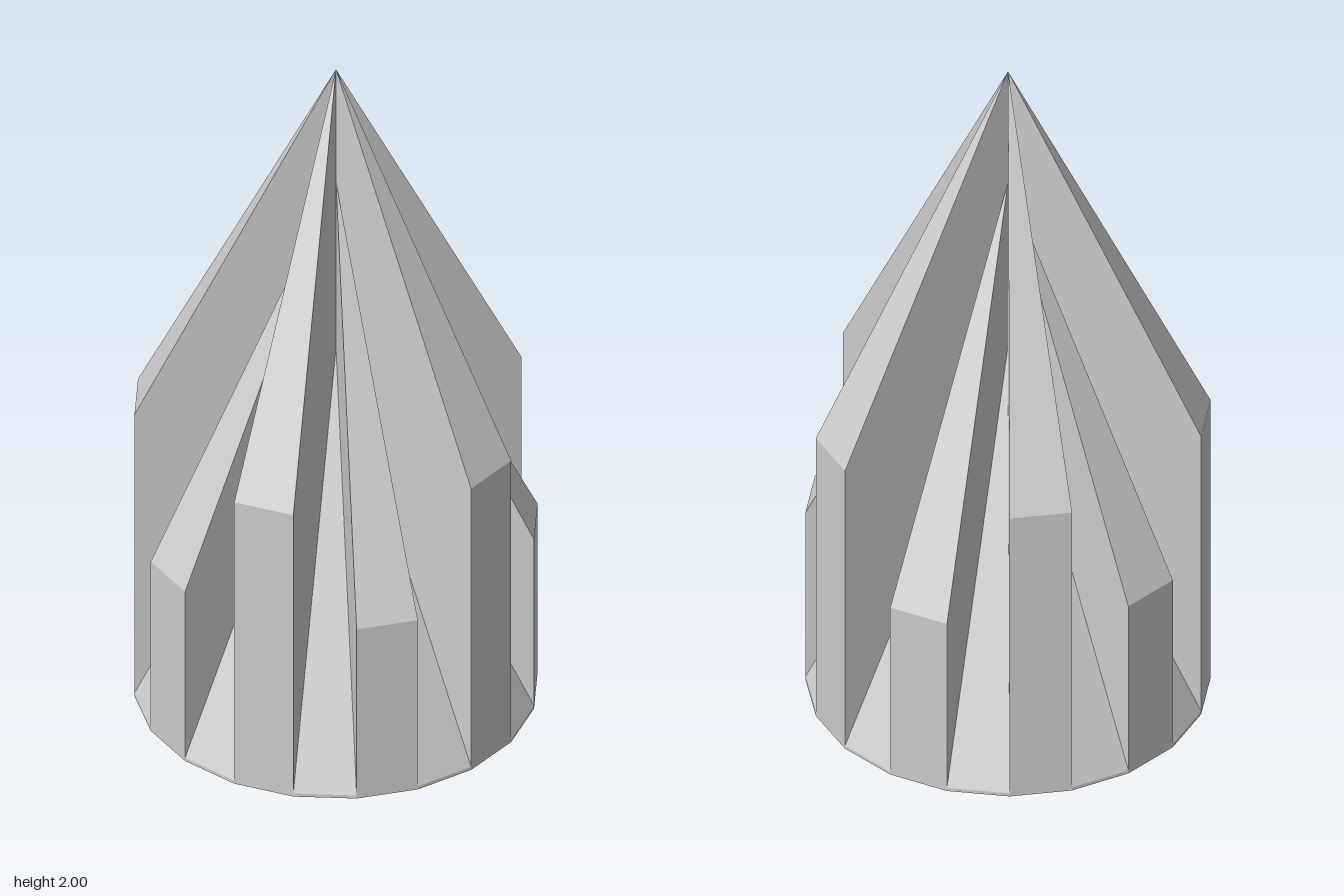
import * as THREE from 'three';

const SIDES = 20;
const RADIUS = 0.543;
const RISE = 1.085; // height gained from rim to axis, equal for every wedge
const LOW = 0.01, MIDDLE = 0.55, TALL = 0.915;

const material = new THREE.MeshStandardMaterial({ color: 0xcccccc, flatShading: true });

// One pie-slice wedge with a sloping roof; raised wedges also get side walls.
function wedge(index, rimHeight) {
  const rim = (i, y) => {
    const a = (i / SIDES) * Math.PI * 2;
    return [RADIUS * Math.sin(a), y, RADIUS * Math.cos(a)];
  };
  const axis = (y) => [0, y, 0];
  const points = [];
  const tri = (a, b, c) => points.push(...a, ...b, ...c);
  const quad = (a, b, c, d) => { tri(a, b, c); tri(a, c, d); };

  const base0 = rim(index, 0), base1 = rim(index + 1, 0);
  const top0 = rim(index, rimHeight), top1 = rim(index + 1, rimHeight);
  const apex = axis(rimHeight + RISE);

  tri(top0, top1, apex);             // roof
  quad(base0, base1, top1, top0);    // outer wall
  tri(base1, base0, axis(0));        // underside
  if (rimHeight > LOW) {
    const lowApex = axis(LOW + RISE);
    quad(lowApex, rim(index, LOW), top0, apex);
    quad(rim(index + 1, LOW), lowApex, apex, top1);
  }

  const geometry = new THREE.BufferGeometry();
  geometry.setAttribute('position', new THREE.Float32BufferAttribute(points, 3));
  geometry.computeVertexNormals();
  return new THREE.Mesh(geometry, material);
}

export function createModel() {
  const model = new THREE.Group();
  model.name = 'steppedCone';

  // Repeating ring: low, middle, low, tall
  const pattern = [
    ['lowWedge', LOW],
    ['middleWedge', MIDDLE],
    ['lowWedge', LOW],
    ['tallWedge', TALL],
  ];
  for (let i = 0; i < SIDES; i++) {
    const [name, height] = pattern[i % pattern.length];
    const mesh = wedge(i, height);
    mesh.name = name + (i + 1);
    model.add(mesh);
  }
  return model;
}
